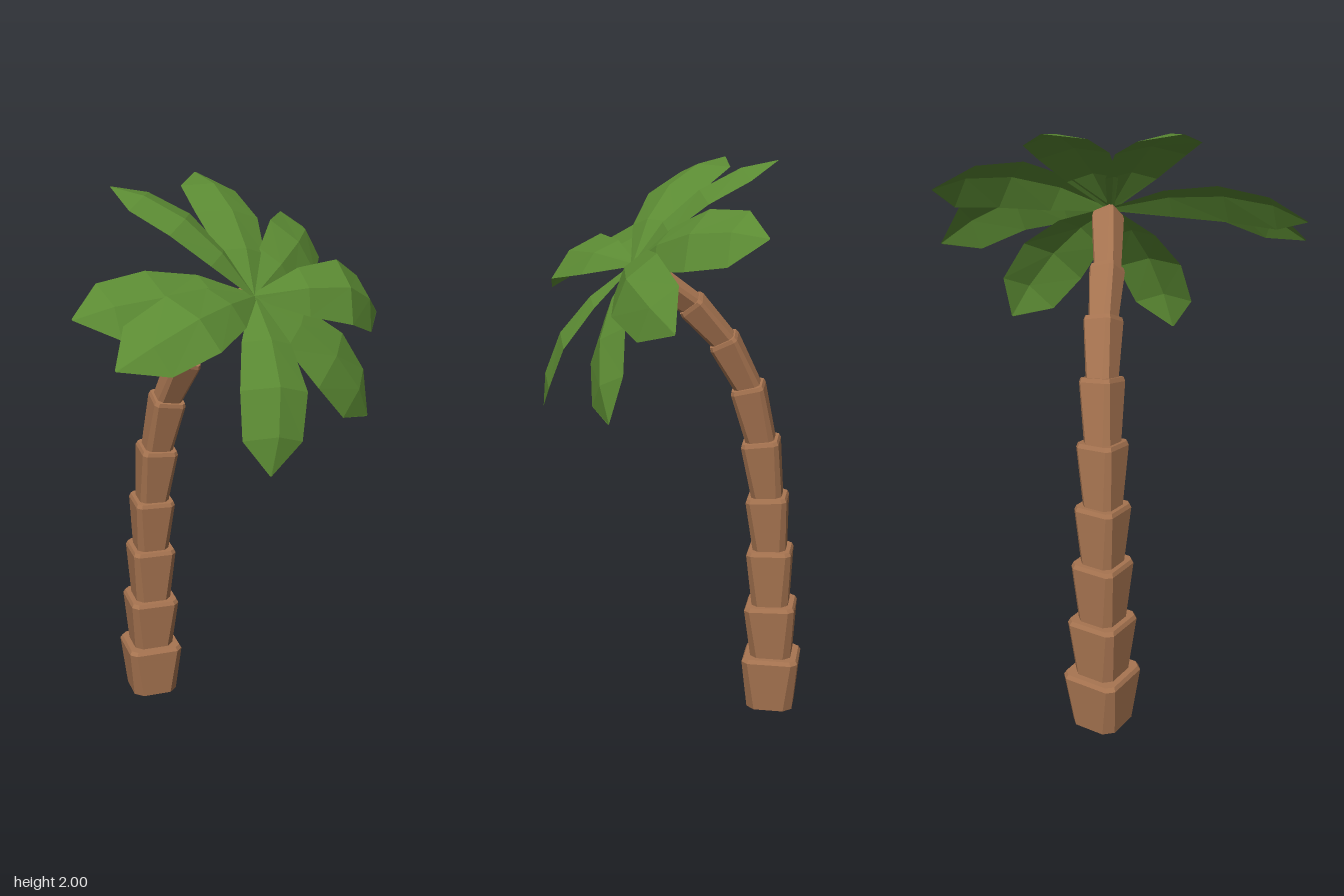
import * as THREE from 'three';
import { ConvexGeometry } from 'three/addons/geometries/ConvexGeometry.js';

const V = (x, y, z) => new THREE.Vector3(x, y, z);
const bark = new THREE.MeshStandardMaterial({ name: 'bark brown', color: 0xa87551 });
const green = new THREE.MeshStandardMaterial({ name: 'frond green', color: 0x5b8a33, side: THREE.DoubleSide });

// Trunk joints: x, y, z
const joints = [
  [-0.358, 0, -0.31], [-0.358, 0.2, -0.31], [-0.353, 0.4, -0.305], [-0.348, 0.61, -0.3],
  [-0.337, 0.81, -0.29], [-0.311, 1.02, -0.272], [-0.265, 1.22, -0.24], [-0.19, 1.39, -0.18],
  [-0.1, 1.52, -0.1], [0.05, 1.645, 0.01],
].map((p) => V(...p));
// Bottom and top width of each trunk segment
const widths = [
  [0.168, 0.205], [0.145, 0.182], [0.13, 0.162], [0.117, 0.147], [0.107, 0.134],
  [0.1, 0.117], [0.088, 0.102], [0.08, 0.092], [0.075, 0.085],
];

// Square with chamfered corners, turned about the trunk axis
function ring(width, y, flat) {
  const a = 0.5 * width, b = flat * width;
  return [[a, b], [b, a], [-b, a], [-a, b], [-a, -b], [-b, -a], [b, -a], [a, -b]]
    .map(([x, z]) => V(x, y, z).applyAxisAngle(V(0, 1, 0), 0.38));
}

// One flared trunk segment with a bevelled top rim
function trunkSegment(from, to, [bottom, top], first) {
  const dir = to.clone().sub(from);
  const length = dir.length();
  const geo = new ConvexGeometry([
    ...ring(bottom, first ? 0 : -0.015, 0.32),
    ...ring(top, length - 0.014, 0.39),
    ...ring(top * 0.93, length, 0.39),
  ]);
  const mesh = new THREE.Mesh(geo, bark);
  mesh.quaternion.setFromUnitVectors(V(0, 1, 0), dir.normalize());
  mesh.position.copy(from);
  return mesh;
}

// Crown: centre and tilted axis
const crown = V(0.06, 1.66, 0.03);
const axis = V(0.61, 0.62, 0.49).normalize();
// Frond tips: x, y, z, roll of the blade
const tips = [
  [-0.17, 2, -0.39, -0.015], [0.21, 1.78, -0.56, 0.008], [0.48, 1.51, -0.39, 0.01],
  [0.45, 1.2, -0.13, 0.02], [0.13, 1.15, 0.36, 0.022], [-0.33, 1.55, 0.56, 0.027],
  [-0.48, 1.67, 0.42, 0.015], [-0.42, 2, -0.05, 0.037],
];
// Frond stations: distance along, half width, share of droop, ridge lift, edge drop
const stations = [
  [0, 0.012, 0, 0, 0.004], [0.3, 0.09, 0.6, 0.1, 0.027], [0.58, 0.122, 1.1, 0.148, 0.033],
  [0.83, 0.108, 1, 0.078, 0.033], [1, 0.003, 1, 0, 0],
];

// A ridged frond that arches out from the crown and droops at its tip
function frond([x, y, z, roll]) {
  const reach = V(x, y, z).sub(crown);
  const droop = reach.dot(axis);
  const out = reach.clone().addScaledVector(axis, -droop);
  const side = axis.clone().cross(out).normalize();
  const rows = stations.map(([t, w, share, lift, drop]) => {
    const mid = crown.clone().addScaledVector(out, t).addScaledVector(axis, share * droop + lift);
    const edge = (s) => mid.clone().addScaledVector(side, s * w)
      .addScaledVector(axis, s * roll * w / 0.11 - drop);
    return [edge(1), mid, edge(-1)];
  });
  const points = [];
  for (let i = 0; i < rows.length - 1; i++) {
    for (let j = 0; j < 2; j++) {
      const a = rows[i][j], b = rows[i][j + 1], c = rows[i + 1][j + 1], d = rows[i + 1][j];
      points.push(b, c, d, b, d, a);
    }
  }
  const geo = new THREE.BufferGeometry().setFromPoints(points);
  geo.computeVertexNormals();
  return new THREE.Mesh(geo, green);
}

export function createModel() {
  const model = new THREE.Group();
  model.name = 'palmTree';

  const trunk = new THREE.Group();
  trunk.name = 'trunk';
  widths.forEach((w, i) => {
    const segment = trunkSegment(joints[i], joints[i + 1], w, i === 0);
    segment.name = `trunkSegment${i + 1}`;
    trunk.add(segment);
  });

  const fronds = new THREE.Group();
  fronds.name = 'fronds';
  tips.forEach((tip, i) => {
    const leaf = frond(tip);
    leaf.name = `frond${i + 1}`;
    fronds.add(leaf);
  });

  model.add(trunk, fronds);
  return model;
}
